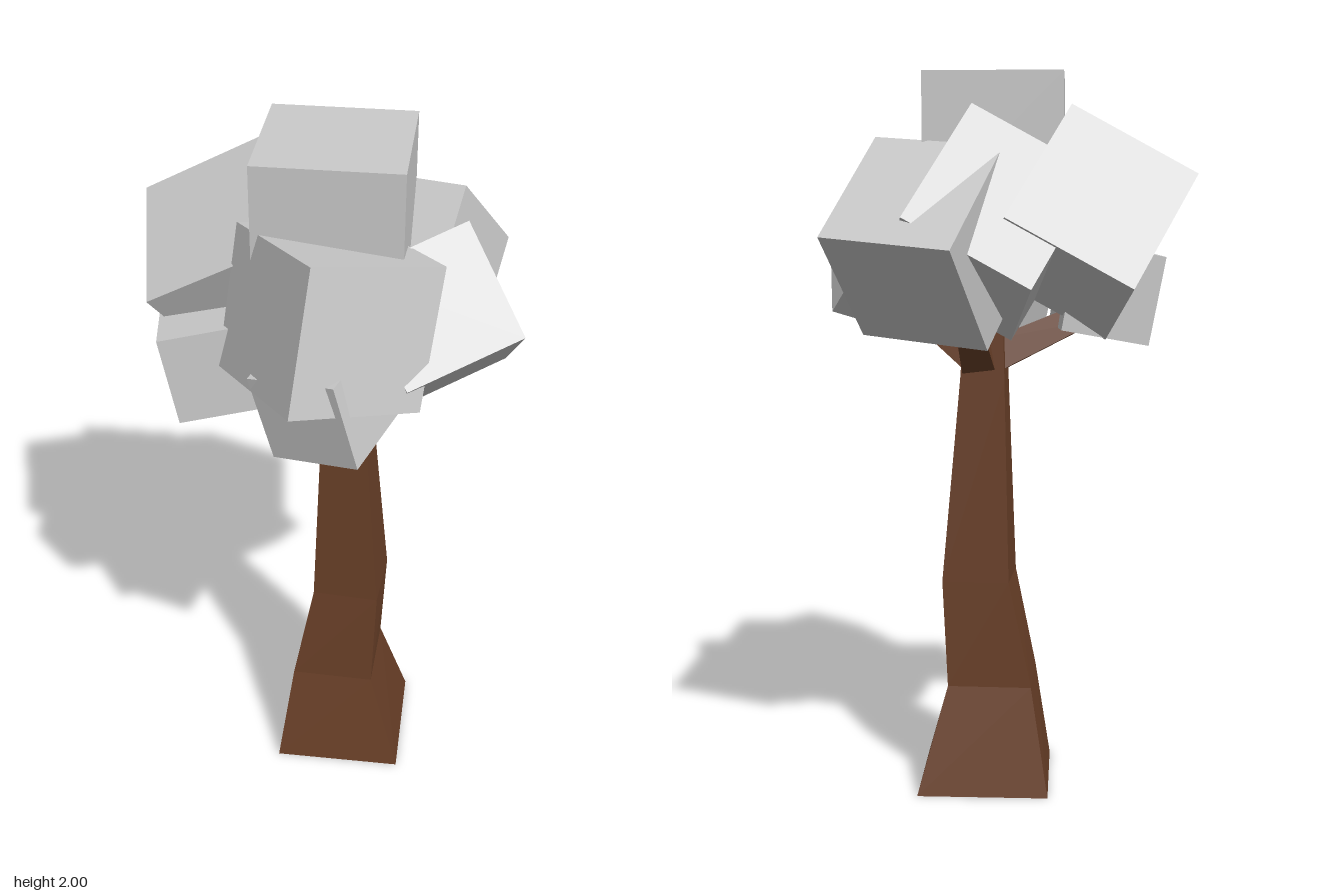
import * as THREE from 'three';

const leafMat = new THREE.MeshStandardMaterial({ color: 0xcccccc, flatShading: true });
const barkMat = new THREE.MeshStandardMaterial({ color: 0x6a4028, flatShading: true });

// Square trunk: each row is height, centre x, centre z, half width, twist
const SECTIONS = [
  [0, 0.053, 0, 0.184, 0],
  [0.3, 0.033, 0.005, 0.118, 0.03],
  [0.6, 0.07, 0, 0.094, 0.07],
  [1.17, 0.055, 0.004, 0.062, 0.05],
  [1.42, 0.05, 0, 0.05, 0.05],
];

function makeTrunk() {
  const rows = SECTIONS.length - 1;
  const geo = new THREE.BoxGeometry(2, rows, 2, 1, rows, 1);
  const pos = geo.attributes.position;
  for (let i = 0; i < pos.count; i++) {
    const [y, cx, cz, h, t] = SECTIONS[Math.round(pos.getY(i) + rows / 2)];
    const x = pos.getX(i), z = pos.getZ(i);
    pos.setXYZ(i, cx + h * (x - t * z), y, cz + h * (z + t * x));
  }
  geo.computeVertexNormals();
  const mesh = new THREE.Mesh(geo, barkMat);
  mesh.name = 'trunk';
  return mesh;
}

// Square branch tapering from start to end
function makeBranch(start, end) {
  const a = new THREE.Vector3(...start), b = new THREE.Vector3(...end);
  const dir = b.clone().sub(a);
  const geo = new THREE.CylinderGeometry(0.045, 0.065, dir.length(), 4);
  geo.rotateY(Math.PI / 4);
  const mesh = new THREE.Mesh(geo, barkMat);
  mesh.position.copy(a).add(b).multiplyScalar(0.5);
  mesh.quaternion.setFromUnitVectors(new THREE.Vector3(0, 1, 0), dir.normalize());
  mesh.name = 'branch';
  return mesh;
}

// Leaf cube placed by its centre and the directions of two of its edges
function makeLeafCube({ name, size, at, u, v }) {
  const ux = new THREE.Vector3(...u).normalize();
  const wz = ux.clone().cross(new THREE.Vector3(...v)).normalize();
  const vy = wz.clone().cross(ux);
  const mesh = new THREE.Mesh(new THREE.BoxGeometry(size, size, size), leafMat);
  mesh.quaternion.setFromRotationMatrix(new THREE.Matrix4().makeBasis(ux, vy, wz));
  mesh.position.set(...at);
  mesh.name = name;
  return mesh;
}

const LEAVES = [
  { name: 'topLeafCube', size: 0.375, at: [0.022, 1.8125, 0.01], u: [1, 0, 0], v: [0, 1, 0] },
  { name: 'frontLeafCube', size: 0.378, at: [0.0275, 1.605, 0.1975], u: [-0.045, -0.37, 0.095], v: [0.3, -0.09, -0.21] },
  { name: 'rightLeafCube', size: 0.378, at: [-0.235, 1.597, -0.115], u: [0.33, 0.18, 0.02], v: [0.065, -0.157, 0.34] },
  { name: 'backLeafCube', size: 0.378, at: [0.025, 1.597, -0.155], u: [0.33, 0.18, 0.02], v: [0.065, -0.157, 0.34] },
  { name: 'backLeftLeafCube', size: 0.378, at: [0.186, 1.55, -0.184], u: [0.35, 0.03, 0.14], v: [-0.12, 0.26, 0.24] },
  { name: 'leftLeafCube', size: 0.325, at: [0.275, 1.53, 0.04], u: [-0.16, 0.225, -0.17], v: [-0.04, -0.215, -0.24] },
  { name: 'lowFrontLeafCube', size: 0.25, at: [0.03, 1.425, 0.268], u: [0.06, -0.245, -0.015], v: [-0.215, -0.04, -0.09] },
  { name: 'lowRightLeafCube', size: 0.25, at: [-0.286, 1.413, 0.08], u: [0.045, -0.24, 0], v: [0.243, 0.04, -0.04] },
];

const BRANCHES = [
  [[0.03, 1.23, 0.01], [-0.26, 1.36, 0.06]],
  [[0.08, 1.23, 0], [0.28, 1.39, 0.02]],
  [[0.06, 1.25, 0.02], [0.05, 1.35, 0.24]],
  [[0.07, 1.22, -0.02], [0.1, 1.4, -0.18]],
];

export function createModel() {
  const tree = new THREE.Group();
  tree.name = 'tree';
  tree.add(makeTrunk());

  const branches = new THREE.Group();
  branches.name = 'branches';
  BRANCHES.forEach(([a, b]) => branches.add(makeBranch(a, b)));

  const crown = new THREE.Group();
  crown.name = 'crown';
  LEAVES.forEach((leaf) => crown.add(makeLeafCube(leaf)));

  tree.add(branches, crown);
  return tree;
}
